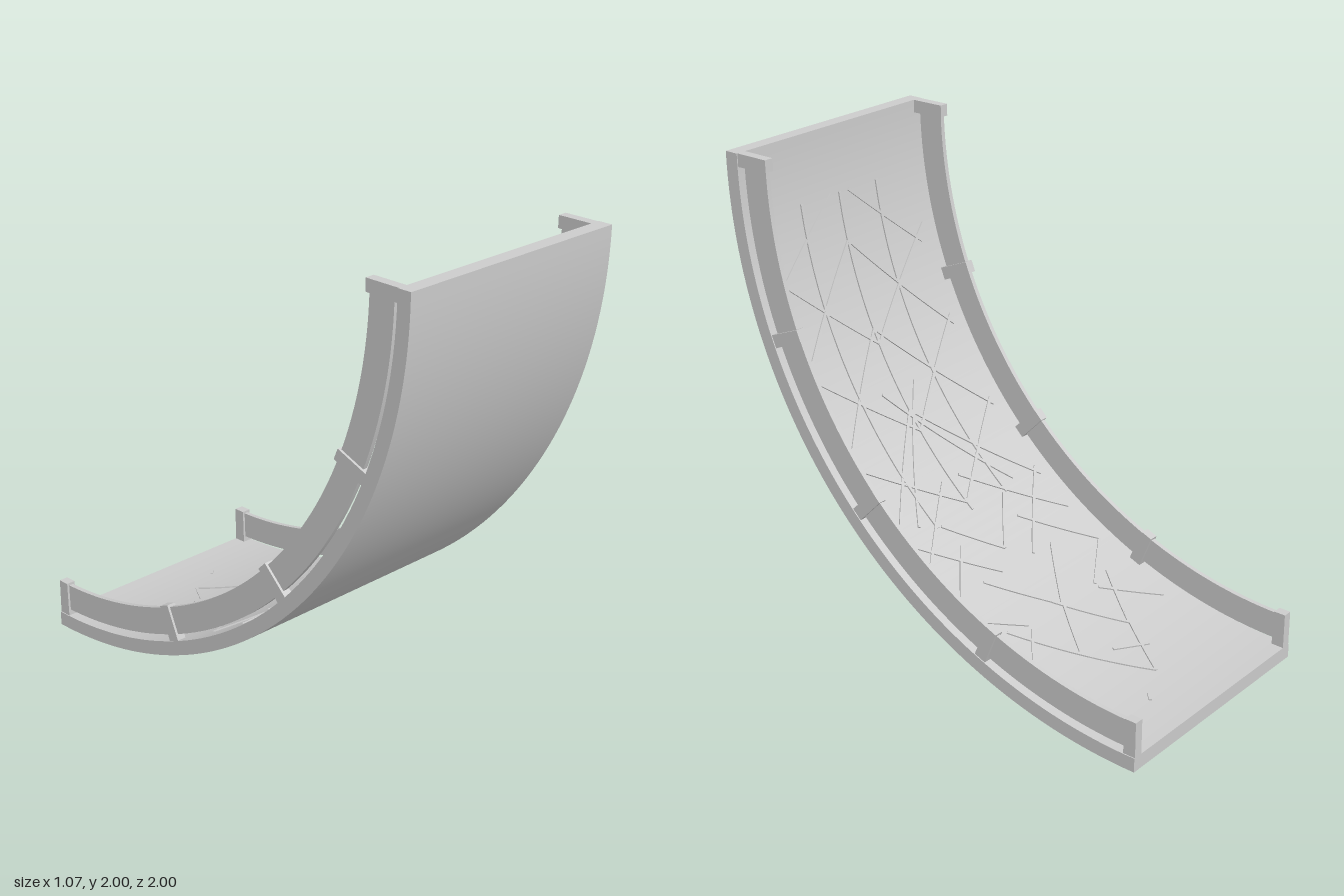
import * as THREE from 'three';

const QUARTER = Math.PI / 2;
const INNER = 1.94;

// Maps (x, radius, angle) onto the quarter arc: angle 0 is the upright top end.
function bend(geometry) {
  const p = geometry.attributes.position;
  for (let i = 0; i < p.count; i++) {
    const r = p.getY(i), t = p.getZ(i);
    p.setXYZ(i, p.getX(i), 2 - r * Math.sin(t), -1 + r * Math.cos(t));
  }
  geometry.computeVertexNormals();
  return geometry;
}

// Curved block between two x values, two radii and two angles.
function arcBlock(x0, x1, r0, r1, t0, t1, segments) {
  const g = new THREE.BoxGeometry(x1 - x0, r1 - r0, t1 - t0, 1, 1, segments);
  g.translate((x0 + x1) / 2, (r0 + r1) / 2, (t0 + t1) / 2);
  return bend(g);
}

// Thin strip lying on the inner face, between two plan points (x, z).
function strip([xa, za, xb, zb], side) {
  const ta = Math.acos((za + 1) / INNER), tb = Math.acos((zb + 1) / INNER);
  const dx = (xb - xa) * side, ds = (tb - ta) * INNER;
  const g = new THREE.BoxGeometry(0.012, 0.012, Math.hypot(dx, ds), 1, 1, 16);
  g.rotateY(Math.atan2(dx, ds));
  g.translate((xa + xb) / 2 * side, INNER, (ta + tb) / 2 * INNER);
  g.scale(1, 1, 1 / INNER);
  return bend(g);
}

export function createModel() {
  const model = new THREE.Group();
  const grey = new THREE.MeshStandardMaterial({ color: 0xcccccc });
  const add = (name, geometry, parent = model) => {
    const mesh = new THREE.Mesh(geometry, grey);
    mesh.name = name;
    parent.add(mesh);
  };

  // Curved deck
  add('curvedDeck', arcBlock(-0.534, 0.534, INNER, 2, 0, QUARTER, 64));

  // Side rails, raised off the deck and held by five posts each
  for (const side of [-1, 1]) {
    const rail = new THREE.Group();
    rail.name = side > 0 ? 'leftRail' : 'rightRail';
    model.add(rail);
    const span = (a, b) => side > 0 ? [a, b] : [-b, -a];
    add('railPanel', arcBlock(...span(0.5, 0.52), 1.8, 1.915, 0, QUARTER, 64), rail);
    for (let i = 0; i < 5; i++) {
      const t = i * QUARTER / 4;
      const t0 = Math.max(0, t - 0.014 * (i === 4 ? 2 : 1));
      const t1 = Math.min(QUARTER, t + 0.014 * (i === 0 ? 2 : 1));
      add('railPost', arcBlock(...span(0.49, 0.53), 1.79, INNER, t0, t1, 1), rail);
    }
  }

  // Lattice of strips: [x, z, x, z], mirrored across the middle
  const lattice = new THREE.Group();
  lattice.name = 'lattice';
  model.add(lattice);
  const paired = [
    [0, -0.72, 0.33, -0.23], [0.16, -0.47, -0.03, -0.22],
    [0.16, -0.47, 0.33, -0.23], [0.43, -0.45, 0.22, -0.27],
    [0, -0.25, 0.22, -0.02], [0.22, -0.25, 0.45, -0.1],
    [0.45, -0.1, 0.18, 0.13], [0.45, 0.07, 0.05, 0.34],
    [0.1, -0.02, 0.45, 0.25], [0.45, 0.22, 0, 0.56],
    [0, 0.25, 0.45, 0.5], [0.45, 0.48, 0, 0.75],
    [0, 0.5, 0.45, 0.72], [0.45, 0.7, 0, 0.88],
    [0, 0.72, 0.45, 0.87], [0.42, 0.85, 0.05, 0.92],
    [0.22, 0.22, 0.22, 0.92], [0, 0.05, 0.2, 0.22],
    [0.3, 0.25, -0.1, 0.62],
  ];
  const single = [[0, 0.22, 0, 0.92], [0.18, -0.82, 0.15, -0.79], [-0.12, -0.6, 0.03, -0.53]];
  for (const s of paired) for (const side of [-1, 1]) add('latticeStrip', strip(s, side), lattice);
  for (const s of single) add('latticeStrip', strip(s, 1), lattice);

  return model;
}
